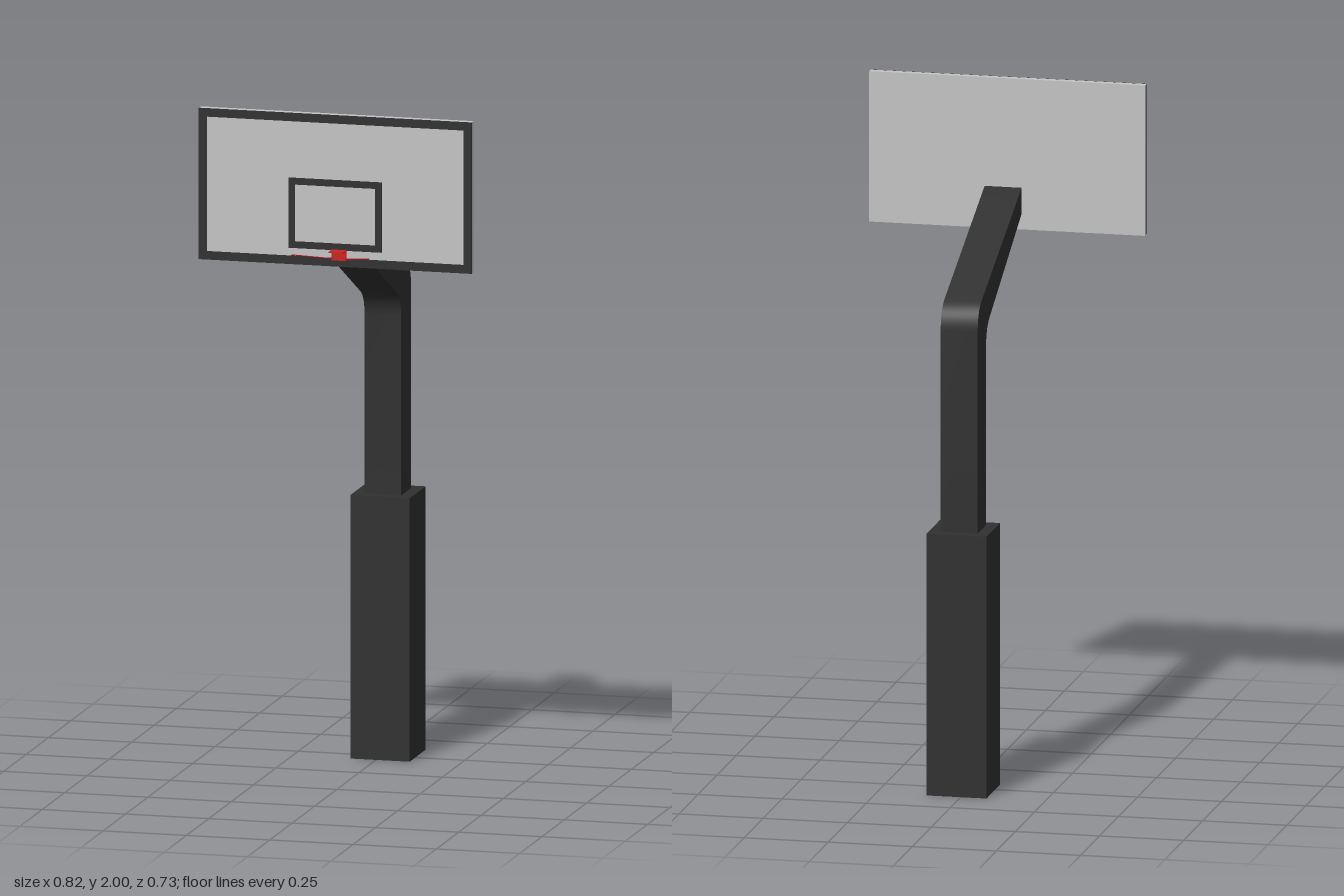
import * as THREE from 'three';
import { toCreasedNormals } from 'three/addons/utils/BufferGeometryUtils.js';

const paint = (name, color) => {
  const m = new THREE.MeshStandardMaterial({ color });
  m.name = name;
  return m;
};

export function createModel() {
  const charcoal = paint('charcoal', 0x303030);
  const grey = paint('boardGrey', 0xc4c4c4);
  const red = paint('rimRed', 0xcc2222);
  const model = new THREE.Group();
  model.name = 'basketballHoop';

  const add = (name, geometry, material) => {
    const mesh = new THREE.Mesh(geometry, material);
    mesh.name = name;
    model.add(mesh);
    return mesh;
  };
  // Box given by its limits on each axis
  const box = (name, material, [x0, x1], [y0, y1], [z0, z1]) =>
    add(name, new THREE.BoxGeometry(x1 - x0, y1 - y0, z1 - z0), material)
      .position.set((x0 + x1) / 2, (y0 + y1) / 2, (z0 + z1) / 2);

  const cx = 0.012; // the post and bracket sit slightly off centre

  // Padded base
  box('basePad', charcoal, [cx - 0.089, cx + 0.089], [0, 0.78], [-0.365, -0.188]);

  // Bent post and arm: side profile drawn as (z, y), extruded across x
  const side = new THREE.Shape();
  side.moveTo(-0.22, 0.76);
  side.lineTo(-0.22, 1.31);
  side.quadraticCurveTo(-0.22, 1.36, -0.18, 1.385);
  side.lineTo(0.25, 1.6);
  side.lineTo(0.25, 1.677);
  side.lineTo(-0.275, 1.463);
  side.quadraticCurveTo(-0.33, 1.44, -0.33, 1.38);
  side.lineTo(-0.33, 0.76);
  side.closePath();
  const post = new THREE.ExtrudeGeometry(side, { depth: 0.11, bevelEnabled: false, curveSegments: 8 });
  post.rotateY(-Math.PI / 2).translate(cx + 0.055, 0, 0);
  add('postAndArm', toCreasedNormals(post, 0.5), charcoal);

  // Backboard
  box('backboard', grey, [-0.41, 0.41], [1.552, 2], [0.248, 0.268]);

  // Painted rectangular outlines on the front of the board
  const outline = (name, halfWidth, y0, y1, t) => {
    const shape = new THREE.Shape([
      new THREE.Vector2(-halfWidth, y0), new THREE.Vector2(halfWidth, y0),
      new THREE.Vector2(halfWidth, y1), new THREE.Vector2(-halfWidth, y1),
    ]);
    const w = halfWidth - t;
    shape.holes.push(new THREE.Path([
      new THREE.Vector2(-w, y0 + t), new THREE.Vector2(-w, y1 - t),
      new THREE.Vector2(w, y1 - t), new THREE.Vector2(w, y0 + t),
    ]));
    const g = new THREE.ExtrudeGeometry(shape, { depth: 0.002, bevelEnabled: false });
    add(name, g.translate(0, 0, 0.268), charcoal);
  };
  outline('boardBorder', 0.41, 1.552, 2, 0.025);
  outline('targetSquare', 0.14, 1.6, 1.808, 0.02);

  // Rim bracket: mounting plate and notched shelf
  box('rimMount', red, [cx - 0.022, cx + 0.022], [1.57, 1.602], [0.268, 0.272]);
  const shelf = new THREE.Shape();
  shelf.moveTo(-0.022, 0.27);
  shelf.lineTo(-0.022, 0.307);
  shelf.quadraticCurveTo(0, 0.297, 0.022, 0.307);
  shelf.lineTo(0.022, 0.27);
  shelf.closePath();
  const shelfGeo = new THREE.ExtrudeGeometry(shelf, { depth: 0.003, bevelEnabled: false });
  add('rimShelf', shelfGeo.rotateX(Math.PI / 2).translate(cx, 1.602, 0), red);

  // Thin struts spreading forward from the bracket
  for (const s of [-1, 1]) {
    const path = new THREE.LineCurve3(
      new THREE.Vector3(cx + s * 0.018, 1.575, 0.27),
      new THREE.Vector3(cx + s * 0.118, 1.6, 0.365));
    add(s > 0 ? 'leftStrut' : 'rightStrut', new THREE.TubeGeometry(path, 1, 0.0015, 6), red);
  }
  return model;
}
